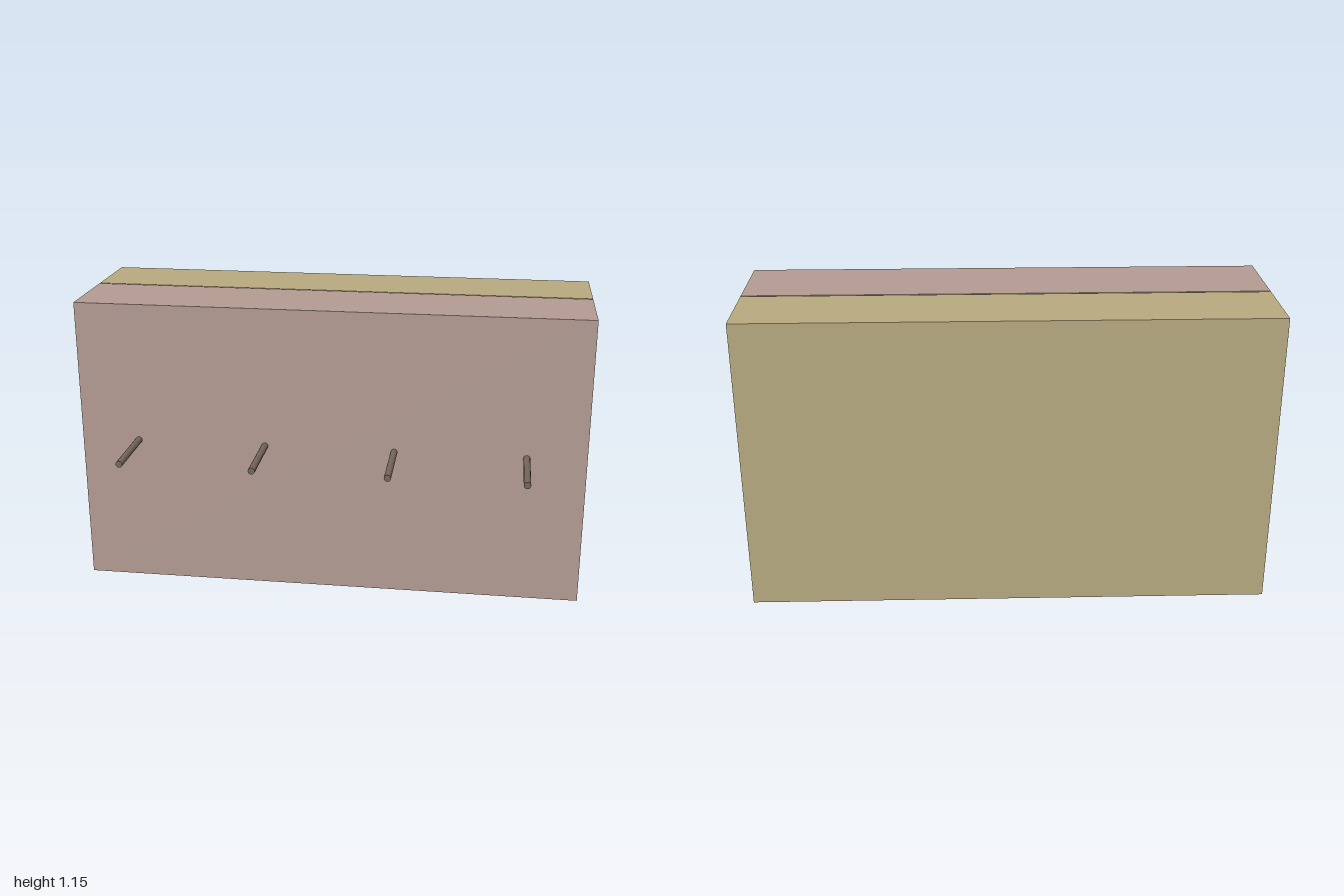
import * as THREE from 'three';

export function createModel() {
  const model = new THREE.Group();
  const pinkClay = new THREE.MeshStandardMaterial({ name: 'pinkClay', color: 0xb29b91 });
  const sand = new THREE.MeshStandardMaterial({ name: 'sand', color: 0xb8aa80 });
  const darkMetal = new THREE.MeshStandardMaterial({ name: 'darkMetal', color: 0x75665a });

  const height = 1.155;

  // Full-width upright slab between two depths
  function addSlab(name, zBack, zFront, material) {
    const slab = new THREE.Mesh(new THREE.BoxGeometry(2, height, zFront - zBack), material);
    slab.name = name;
    slab.position.set(0, height / 2, (zBack + zFront) / 2);
    model.add(slab);
  }

  // Two slabs with a narrow gap between them
  addSlab('frontSlab', -0.142, 0.18, pinkClay);
  addSlab('backSlab', -0.45, -0.15, sand);

  // Row of evenly spaced rods standing out of the front face
  const rodGeometry = new THREE.CylinderGeometry(0.0135, 0.0135, 0.27, 12).rotateX(Math.PI / 2);
  for (let i = 0; i < 4; i++) {
    const rod = new THREE.Mesh(rodGeometry, darkMetal);
    rod.name = `rod${i + 1}`;
    rod.position.set((i - 1.5) * 0.513, 0.598, 0.315);
    model.add(rod);
  }
  return model;
}
